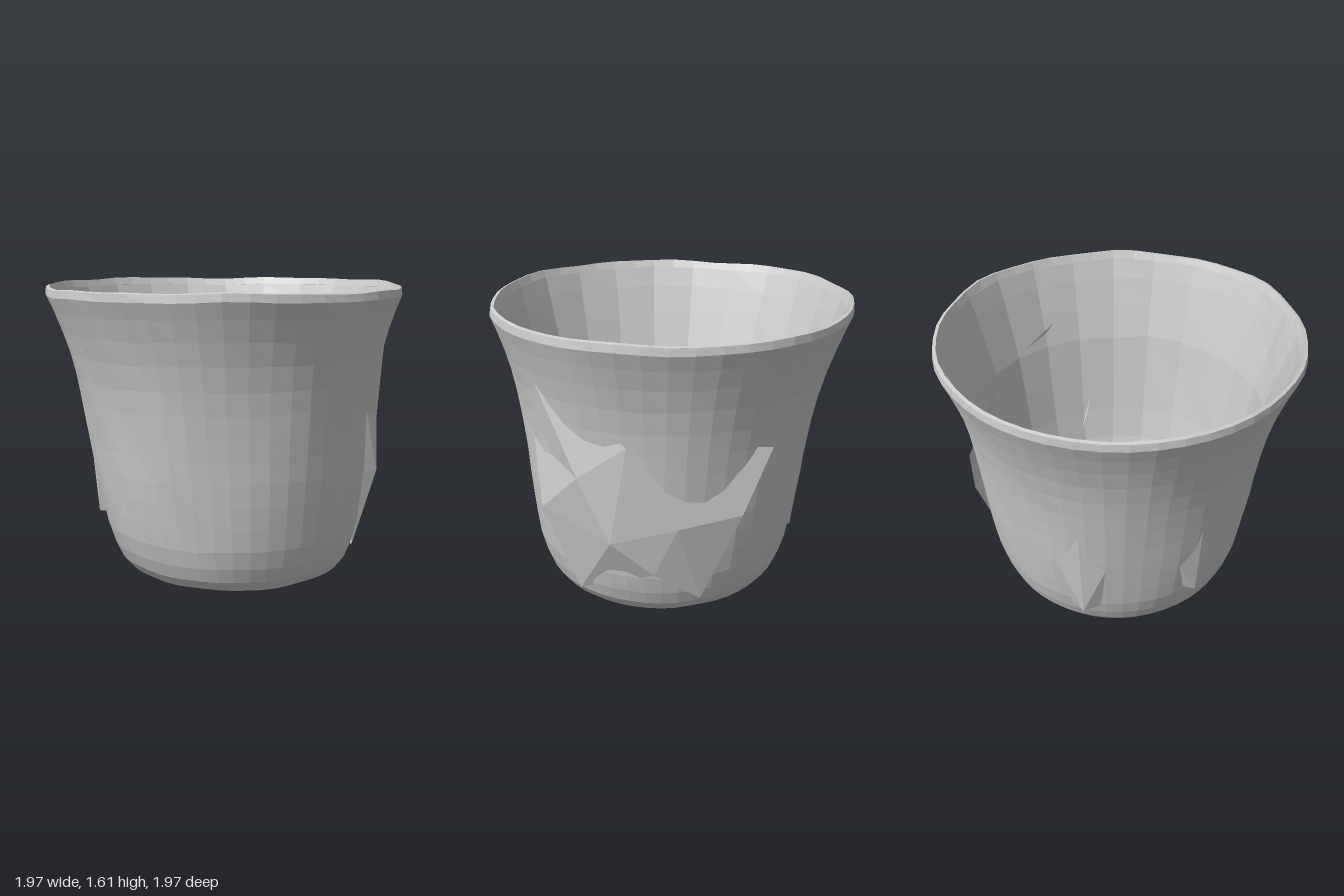
import * as THREE from 'three';

const material = new THREE.MeshStandardMaterial({
  color: 0xcccccc, flatShading: true, side: THREE.DoubleSide,
});

function named(geometry, name) {
  const mesh = new THREE.Mesh(geometry, material);
  mesh.name = name;
  return mesh;
}

// Smooth hand-made unevenness, by angle and height
const wobble = (a, y) => 0.5 * Math.sin(3 * a + 2 * y) + 0.3 * Math.sin(7 * a - 5 * y) + 0.2 * Math.sin(13 * a + 9 * y);

// A turned wall whose foot leans off centre and whose surface is slightly uneven
function turned(profile, segments, rough) {
  const geo = new THREE.LatheGeometry(profile.map(([r, y]) => new THREE.Vector2(r, y)), segments);
  const p = geo.attributes.position;
  for (let i = 0; i < p.count; i++) {
    const x = p.getX(i), y = p.getY(i), z = p.getZ(i);
    const w = wobble(Math.atan2(x, z), y);
    const s = 1 + rough * w;
    const lean = 0.045 * (1 - y / 1.6);
    p.setXYZ(i, x * s + lean, Math.max(0, y + 0.012 * w), z * s + lean);
  }
  geo.computeVertexNormals();
  return geo;
}

// Faceted panel made of triangles between a few corner points
function panel(points, faces, name) {
  const geo = new THREE.BufferGeometry();
  geo.setAttribute('position', new THREE.Float32BufferAttribute(points.flat(), 3));
  geo.setIndex(faces.flat());
  const flat = geo.toNonIndexed();
  flat.computeVertexNormals();
  return named(flat, name);
}

export function createModel() {
  const group = new THREE.Group();
  group.name = 'cup';

  // Outer wall: recessed foot, rounded base, flared lip
  const outerPoints = [
    [0.29, 0.11], [0.34, 0.06], [0.42, 0.025], [0.52, 0.015], [0.6, 0.045], [0.645, 0.1],
    [0.68, 0.18], [0.71, 0.28], [0.732, 0.4], [0.752, 0.52], [0.77, 0.64], [0.785, 0.76],
    [0.802, 0.88], [0.82, 1.0], [0.842, 1.12], [0.873, 1.25], [0.91, 1.37], [0.95, 1.48],
    [0.985, 1.565], [0.98, 1.605], [0.962, 1.61], [0.945, 1.57],
  ];
  group.add(named(turned(outerPoints, 48, 0.013), 'outerWall'));

  // Inner wall and floor, more coarsely faceted
  const innerPoints = [
    [0.945, 1.57], [0.91, 1.46], [0.865, 1.3], [0.81, 1.1], [0.77, 0.85],
    [0.73, 0.6], [0.69, 0.4], [0.64, 0.24], [0.5, 0.17], [0.25, 0.15],
  ];
  group.add(named(turned(innerPoints, 24, 0.013), 'innerWall'));

  // Dome rising from the floor, closed underneath
  const dome = named(new THREE.SphereGeometry(0.31, 16, 6, 0, Math.PI * 2, 0, Math.PI / 2), 'floorDome');
  dome.position.set(0.05, 0.14, 0.03);
  group.add(dome);
  const cap = named(new THREE.CircleGeometry(0.31, 24), 'footRecess');
  cap.rotation.x = Math.PI / 2;
  cap.position.set(0.045, 0.1, 0.045);
  group.add(cap);

  // Large broken facets on the left side, with a sharp front fin
  group.add(panel([
    [0.61, 0.12, 0.41], [0.63, 0.6, 0.6], [0.51, 0.95, 0.66], [0.66, 1.29, 0.6],
    [0.82, 0.5, 0.2], [0.8, 0.85, 0.37], [0.85, 1.05, 0.1], [0.77, 0.31, -0.02],
    [0.67, 0.14, -0.25], [0.81, 0.6, -0.15], [0.69, 0.65, -0.47], [0.6, 1.0, -0.61],
    [0.52, 0.6, 0.55],
  ], [
    [0, 4, 1], [1, 4, 5], [1, 5, 2], [2, 5, 3], [5, 6, 3], [4, 6, 5], [0, 7, 4],
    [4, 7, 9], [4, 9, 6], [7, 8, 9], [8, 10, 9], [9, 10, 6], [10, 11, 6], [0, 1, 12], [12, 1, 2],
  ], 'brokenFacets'));

  // Pointed facets on the back and right, tips standing proud of the wall
  for (const [angle, tipY, tipR] of [[3.36, 0.23, 0.735], [4.22, 0.32, 0.755]]) {
    const at = (da, y, r) => [r * Math.sin(angle + da) + 0.03, y, r * Math.cos(angle + da) + 0.03];
    group.add(panel([
      at(0, tipY, tipR), at(-0.2, 0.62, 0.765), at(0.2, 0.62, 0.765), at(0, 1.0, 0.82),
      at(-0.12, tipY + 0.02, 0.69), at(0.12, tipY + 0.02, 0.69),
    ], [[0, 1, 3], [0, 3, 2], [0, 4, 1], [0, 2, 5], [0, 5, 4]], 'pointedFacet'));
  }
  return group;
}
